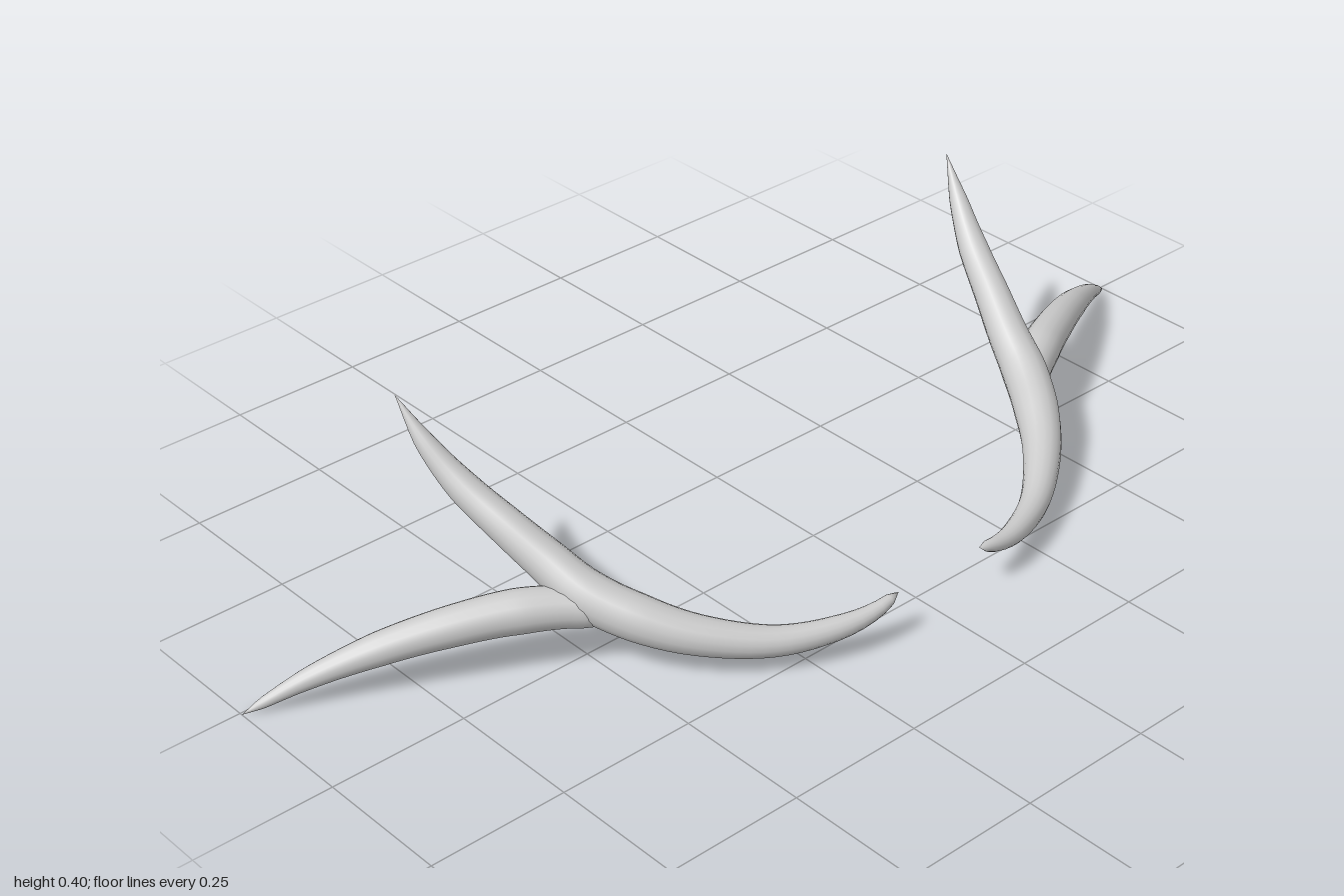
import * as THREE from 'three';
import { mergeVertices } from 'three/addons/utils/BufferGeometryUtils.js';

const SEGMENTS = 48, SIDES = 16;

// Smooth closed horn swept through rows of [x, y, z, radius]
function taperedHorn(name, rows, side, material) {
  const points = rows.map(([x, y, z]) => new THREE.Vector3(side * x, y, z));
  const path = new THREE.CatmullRomCurve3(points, false, 'centripetal');
  // radius curve, indexed by arc length so it stays in step with the tube rings
  const lengths = path.getLengths(400);
  const total = lengths[400];
  const stops = rows.map((row, i) => lengths[Math.round((400 * i) / (rows.length - 1))] / total);
  const radiusAt = (t) => {
    let i = 0;
    while (i < stops.length - 2 && t > stops[i + 1]) i++;
    const f = (t - stops[i]) / (stops[i + 1] - stops[i]);
    return THREE.MathUtils.lerp(rows[i][3], rows[i + 1][3], THREE.MathUtils.clamp(f, 0, 1));
  };
  let geometry = new THREE.TubeGeometry(path, SEGMENTS, 1, SIDES, false);
  const position = geometry.attributes.position;
  const vertex = new THREE.Vector3();
  for (let ring = 0; ring <= SEGMENTS; ring++) {
    const t = ring / SEGMENTS;
    const center = path.getPointAt(t);
    const radius = radiusAt(t);
    for (let s = 0; s <= SIDES; s++) {
      const i = ring * (SIDES + 1) + s;
      vertex.fromBufferAttribute(position, i).sub(center).multiplyScalar(radius).add(center);
      position.setXYZ(i, vertex.x, vertex.y, vertex.z);
    }
  }
  // weld the seam and the closed tips so the shading is continuous
  geometry.deleteAttribute('uv');
  geometry.deleteAttribute('normal');
  geometry = mergeVertices(geometry, 1e-5);
  geometry.computeVertexNormals();
  const mesh = new THREE.Mesh(geometry, material);
  mesh.name = name;
  return mesh;
}

// Main beam: blunt inner tip, sweeping out and back up to the upper point
const BEAM = [
  [0.093, 0.086, 0.303, 0],
  [0.100, 0.084, 0.303, 0.008],
  [0.140, 0.071, 0.300, 0.014],
  [0.200, 0.060, 0.284, 0.020],
  [0.300, 0.055, 0.236, 0.026],
  [0.400, 0.074, 0.156, 0.034],
  [0.460, 0.099, 0.085, 0.040],
  [0.505, 0.130, 0.010, 0.041],
  [0.528, 0.170, -0.055, 0.036],
  [0.553, 0.214, -0.120, 0.032],
  [0.582, 0.270, -0.200, 0.027],
  [0.604, 0.333, -0.260, 0.017],
  [0.620, 0.405, -0.310, 0],
];

// Outer tine: roots inside the beam and droops to the ground
const TINE = [
  [0.450, 0.094, 0.090, 0.012],
  [0.510, 0.110, 0.020, 0.034],
  [0.600, 0.115, -0.040, 0.038],
  [0.700, 0.104, -0.095, 0.034],
  [0.800, 0.082, -0.148, 0.028],
  [0.900, 0.049, -0.198, 0.018],
  [0.970, 0.016, -0.232, 0.009],
  [1.000, 0.002, -0.245, 0],
];

export function createModel() {
  const model = new THREE.Group();
  model.name = 'antlerPair';
  const material = new THREE.MeshStandardMaterial({ color: 0xcccccc });
  for (const [label, side] of [['left', 1], ['right', -1]]) {
    const antler = new THREE.Group();
    antler.name = label + 'Antler';
    antler.add(
      taperedHorn(label + 'Beam', BEAM, side, material),
      taperedHorn(label + 'OuterTine', TINE, side, material),
    );
    model.add(antler);
  }
  return model;
}
